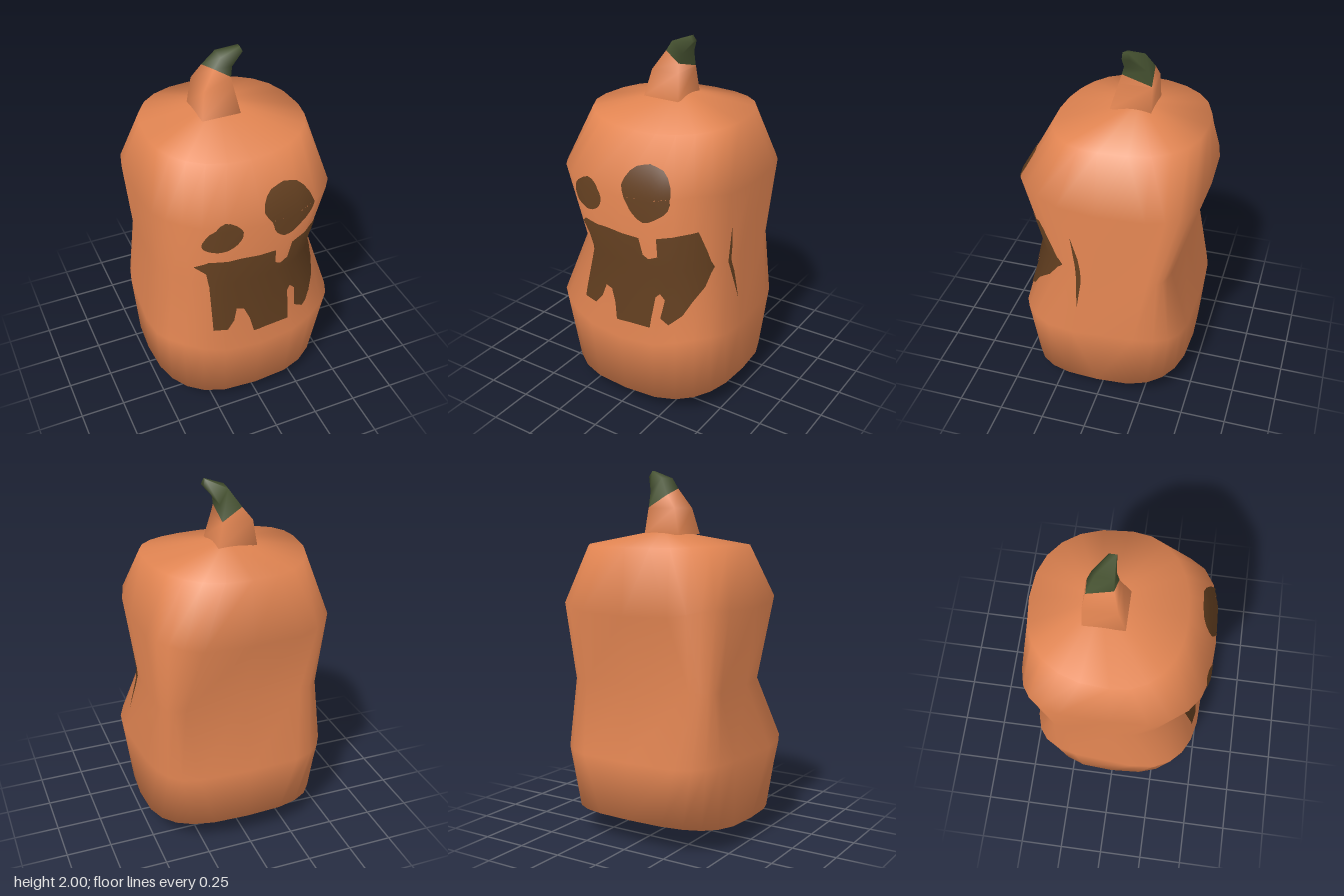
import * as THREE from 'three';
import { mergeVertices } from 'three/addons/utils/BufferGeometryUtils.js';

const SIDES = 24;

// Skin a list of closed rings (counter-clockwise from above, bottom to top) with smooth normals.
function loft(rings, capTop = false) {
  const n = rings[0].length, pos = [], index = [];
  rings.forEach(r => r.forEach(p => pos.push(...p)));
  for (let k = 0; k < rings.length - 1; k++) {
    for (let i = 0; i < n; i++) {
      const a = k * n + i, b = k * n + (i + 1) % n;
      index.push(a, b, b + n, a, b + n, a + n);
    }
  }
  if (capTop) {
    const s = (rings.length - 1) * n;
    for (let i = 1; i < n - 1; i++) index.push(s, s + i, s + i + 1);
  }
  let g = new THREE.BufferGeometry();
  g.setAttribute('position', new THREE.Float32BufferAttribute(pos, 3));
  g.setIndex(index);
  g = mergeVertices(g);
  g.computeVertexNormals();
  return g;
}

// Rounded-square section around z = mid. Front and back halves have their own depth, height,
// squareness (power) and corner lift; the half width may change towards the back.
function section({ mid = 0, side, width, backWidth = width, front, back }) {
  return Array.from({ length: SIDES }, (_, i) => {
    const t = i / SIDES * Math.PI * 2, s = Math.sin(t), c = Math.cos(t);
    const [endY, endZ, power, lift] = c > 0 ? front : back;
    const round = v => Math.abs(v) ** (2 / power);
    const w = c > 0 ? width : width + (backWidth - width) * round(c);
    return [
      Math.sign(s) * w * round(s),
      side + c * c * (endY - side) + lift * Math.sin(2 * t) ** 2,
      mid + (endZ - mid) * round(c),
    ];
  });
}

const pole = (x, y, z) => Array.from({ length: SIDES }, () => [x, y, z]);

// Split every triangle in four, several times over.
function subdivide(tris, levels) {
  for (let l = 0; l < levels; l++) {
    tris = tris.flatMap(([a, b, c]) => {
      const ab = a.clone().lerp(b, 0.5), bc = b.clone().lerp(c, 0.5), ca = c.clone().lerp(a, 0.5);
      return [[a, ab, ca], [ab, b, bc], [ca, bc, c], [ab, bc, ca]];
    });
  }
  return tris;
}

// Lay a flat outline onto the body surface, seen from an angle around y.
function decal(points, body, angle = 0, levels = 4) {
  const flat = new THREE.ShapeGeometry(new THREE.Shape(points)).toNonIndexed().attributes.position;
  const tris = [];
  for (let i = 0; i < flat.count; i += 3) {
    tris.push([0, 1, 2].map(k => new THREE.Vector3().fromBufferAttribute(flat, i + k)));
  }
  const up = new THREE.Vector3(0, 1, 0), ray = new THREE.Raycaster();
  const dir = new THREE.Vector3(0, 0, -1).applyAxisAngle(up, angle);
  const pos = [], nor = [];
  for (const tri of subdivide(tris, levels)) {
    const hits = tri.map(p => {
      ray.set(new THREE.Vector3(p.x, p.y, 2).applyAxisAngle(up, angle), dir);
      return ray.intersectObject(body)[0];
    });
    if (hits.some(h => !h)) continue;
    for (const h of hits) {
      const n = h.normal || h.face.normal;
      pos.push(...h.point.clone().addScaledVector(n, 0.005).toArray());
      nor.push(...n.toArray());
    }
  }
  const g = new THREE.BufferGeometry();
  g.setAttribute('position', new THREE.Float32BufferAttribute(pos, 3));
  g.setAttribute('normal', new THREE.Float32BufferAttribute(nor, 3));
  return g;
}

const outline = pts => pts.map(p => new THREE.Vector2(...p));
const rounded = pts => new THREE.SplineCurve(outline([...pts, pts[0]])).getPoints(24).slice(0, -1);

export function createModel() {
  const group = new THREE.Group();
  const material = (name, color) => {
    const m = new THREE.MeshStandardMaterial({ color });
    m.name = name;
    return m;
  };
  const orange = material('pumpkin orange', 0xe28552);
  const brown = material('carved brown', 0x633f20);
  const green = material('stem green', 0x465231);
  const add = (name, geometry, mat) => {
    const mesh = new THREE.Mesh(geometry, mat);
    mesh.name = name;
    group.add(mesh);
    return mesh;
  };

  // Tall pumpkin with a pinched waist; front and back are [y, z, power, corner lift]
  const body = add('body', loft([
    pole(0, 0, 0.03),
    section({ side: 0.125, width: 0.5, front: [0.07, 0.46, 2.8, 0], back: [0.15, -0.455, 2.9, 0] }),
    section({ mid: 0.13, side: 0.5, width: 0.54, backWidth: 0.505,
      front: [0.43, 0.5, 2.8, 0.05], back: [0.47, -0.475, 4.8, 0] }),
    section({ side: 0.86, width: 0.46, front: [0.86, 0.42, 2.3, 0], back: [0.87, -0.38, 8, 0] }),
    section({ side: 1.28, width: 0.507, front: [1.28, 0.505, 3, 0.05], back: [1.25, -0.503, 4.26, 0.03] }),
    section({ side: 1.61, width: 0.43, front: [1.58, 0.34, 2.2, 0], back: [1.6, -0.47, 2.4, 0] }),
    pole(0, 1.69, -0.1),
  ]), orange);
  body.updateMatrixWorld();

  // Bent four-sided stem, cut on a slant between orange base and green tip
  const square = (x0, x1, z0, z1, y) => [[x0, y, z1], [x1, y, z1], [x1, y, z0], [x0, y, z0]];
  const cut = [[-0.045, 1.905, -0.03], [0.043, 1.85, -0.015], [0.05, 1.805, -0.175], [-0.06, 1.87, -0.165]];
  add('stemBase', loft([
    square(-0.14, 0.075, -0.18, 0.04, 1.66),
    square(-0.115, 0.05, -0.178, 0, 1.8),
    cut,
  ]), orange);
  add('stemTip', loft([
    cut,
    [[-0.01, 1.96, -0.032], [0.055, 1.9, -0.03], [0.055, 1.89, -0.15], [0, 1.96, -0.125]],
    [[0.1, 2, -0.035], [0.115, 1.97, -0.035], [0.115, 1.97, -0.075], [0.1, 2, -0.065]],
  ], true), green);

  // Carved face
  add('rightEye', decal(rounded([
    [-0.31, 1.21], [-0.28, 1.28], [-0.2, 1.33], [-0.12, 1.29],
    [-0.11, 1.22], [-0.15, 1.16], [-0.23, 1.13], [-0.3, 1.16],
  ]), body, 0, 3), brown);
  add('leftEye', decal(rounded([
    [0.15, 1.45], [0.24, 1.42], [0.3, 1.33], [0.28, 1.24], [0.21, 1.18],
    [0.14, 1.15], [0.08, 1.2], [0.05, 1.28], [0.015, 1.34], [0.06, 1.42],
  ]), body, 0, 3), brown);
  add('mouth', decal(outline([
    [-0.33, 1], [-0.27, 1.05], [-0.1, 1.055], [0.1, 1.045], [0.11, 0.94], [0.14, 0.92],
    [0.19, 0.94], [0.2, 1.06], [0.39, 1.11], [0.405, 0.98], [0.415, 0.86], [0.405, 0.77],
    [0.34, 0.63], [0.28, 0.575], [0.23, 0.6], [0.24, 0.7], [0.21, 0.73], [0.19, 0.71],
    [0.18, 0.54], [-0.03, 0.53], [-0.05, 0.62], [-0.08, 0.69], [-0.12, 0.7], [-0.14, 0.63],
    [-0.18, 0.58], [-0.26, 0.59], [-0.25, 0.85], [-0.27, 0.95],
  ]), body), brown);
  // Narrow slit on the left side
  add('sideSlit', decal(outline([
    [-0.14, 1.1], [-0.125, 0.9], [-0.105, 0.65], [-0.09, 0.8], [-0.105, 0.95],
  ]), body, Math.PI / 2, 3), brown);

  return group;
}
